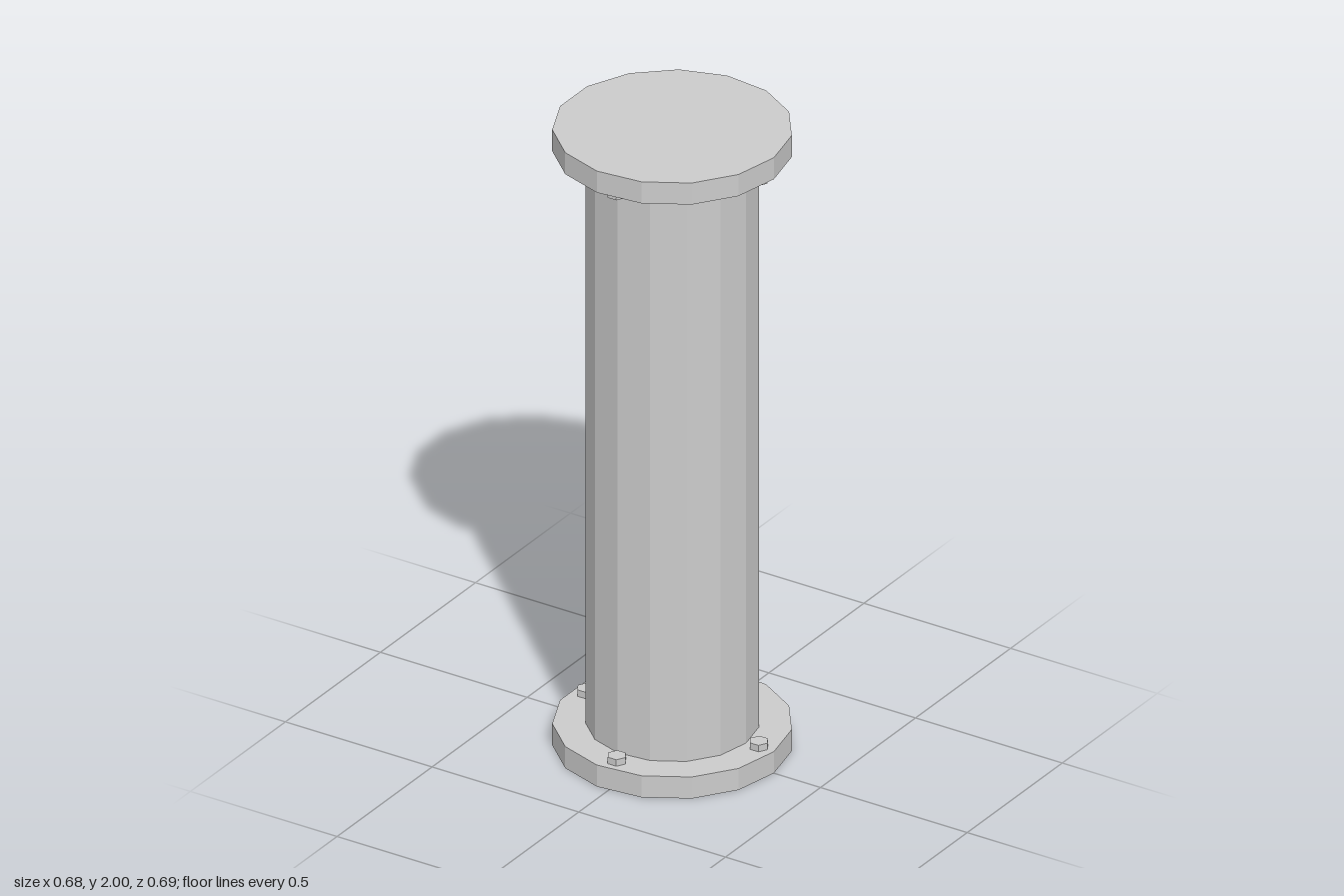
import * as THREE from 'three';

export function createModel() {
  const model = new THREE.Group();
  model.name = 'flangedColumn';
  const material = new THREE.MeshStandardMaterial({ color: 0xcccccc, flatShading: true });

  // Faceted upright cylinder with one corner on +x
  function prism(name, radius, sides, bottom, top, x = 0, z = 0) {
    const geometry = new THREE.CylinderGeometry(radius, radius, top - bottom, sides);
    geometry.rotateY(Math.PI / 2);
    const mesh = new THREE.Mesh(geometry, material);
    mesh.name = name;
    mesh.position.set(x, (bottom + top) / 2, z);
    return mesh;
  }

  // Fifteen-sided shaft between the flanges
  model.add(prism('shaft', 0.25, 15, 0.07, 1.93));

  // Flange with four bolts at each end
  for (const [end, bottom, top, boltBottom, boltTop] of [
    ['bottom', 0, 0.07, 0.07, 0.091],
    ['top', 1.93, 2, 1.909, 1.93],
  ]) {
    model.add(prism(end + 'Flange', 0.345, 15, bottom, top));
    for (let i = 0; i < 4; i++) {
      const a = (i * Math.PI) / 2;
      model.add(prism(end + 'Bolt' + (i + 1), 0.029, 6, boltBottom, boltTop, 0.294 * Math.cos(a), 0.294 * Math.sin(a)));
    }
  }

  // Odd-sided outline is centred by its extents
  for (const part of model.children) part.position.x -= 0.004;
  return model;
}
